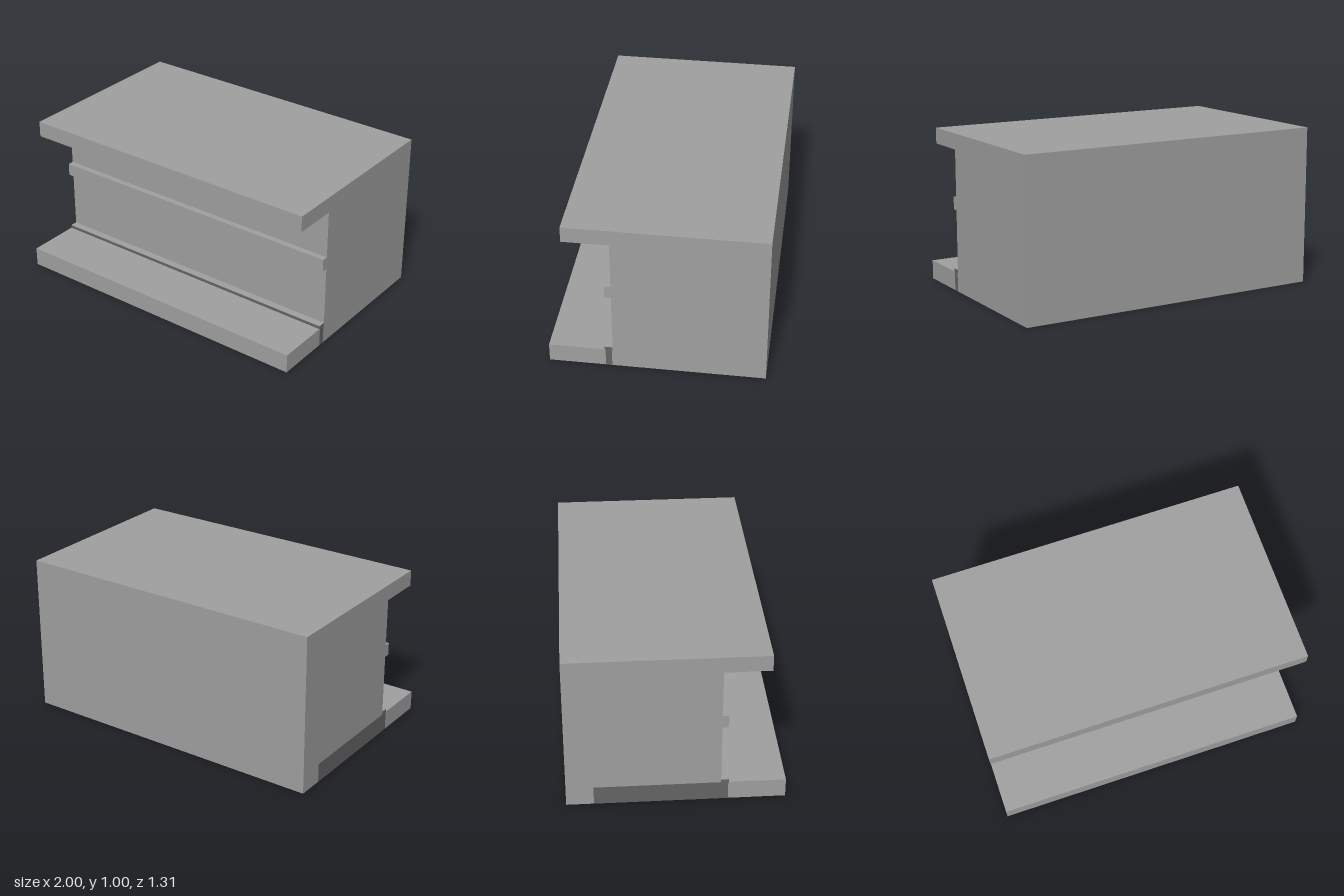
import * as THREE from 'three';

export function createModel() {
  const model = new THREE.Group();
  const grey = new THREE.MeshStandardMaterial({ color: 0xa0a0a0 });
  grey.name = 'light grey';
  const dark = new THREE.MeshStandardMaterial({ color: 0x656565 });
  dark.name = 'dark grey';

  // Full-length bar given by its extent in z and y, and optionally in x
  function bar(name, material, z0, z1, y0, y1, x0 = -1, x1 = 1) {
    const mesh = new THREE.Mesh(new THREE.BoxGeometry(x1 - x0, y1 - y0, z1 - z0), material);
    mesh.name = name;
    mesh.position.set((x0 + x1) / 2, (y0 + y1) / 2, (z0 + z1) / 2);
    model.add(mesh);
  }

  // Body with a recessed front, as one continuous section along x:
  // base ledge below, overhanging top above
  const section = new THREE.Shape([
    [-0.655, 0], [0.655, 0], [0.655, 0.12], [0.267, 0.12],
    [0.267, 0.9], [0.547, 0.9], [0.547, 1], [-0.655, 1],
  ].map(([z, y]) => new THREE.Vector2(-z, y)));
  const bodyGeometry = new THREE.ExtrudeGeometry(section, { depth: 2, bevelEnabled: false });
  bodyGeometry.translate(0, 0, -1).rotateY(Math.PI / 2);
  const body = new THREE.Mesh(bodyGeometry, grey);
  body.name = 'body';
  model.add(body);

  // Rail across the recessed front
  bar('rail', grey, 0.267, 0.305, 0.52, 0.6);

  // Dark strip along the back of the ledge, with a light top
  bar('ledgeStrip', [dark, dark, grey, dark, dark, dark], 0.267, 0.315, 0.12, 0.14);

  // Thin dark inlays on the ends of the base
  bar('rightInlay', dark, 0.272, 0.31, 0, 0.12, 0.999, 1.001);
  bar('leftInlay', dark, -0.49, 0.31, 0, 0.12, -1.001, -0.999);

  return model;
}
